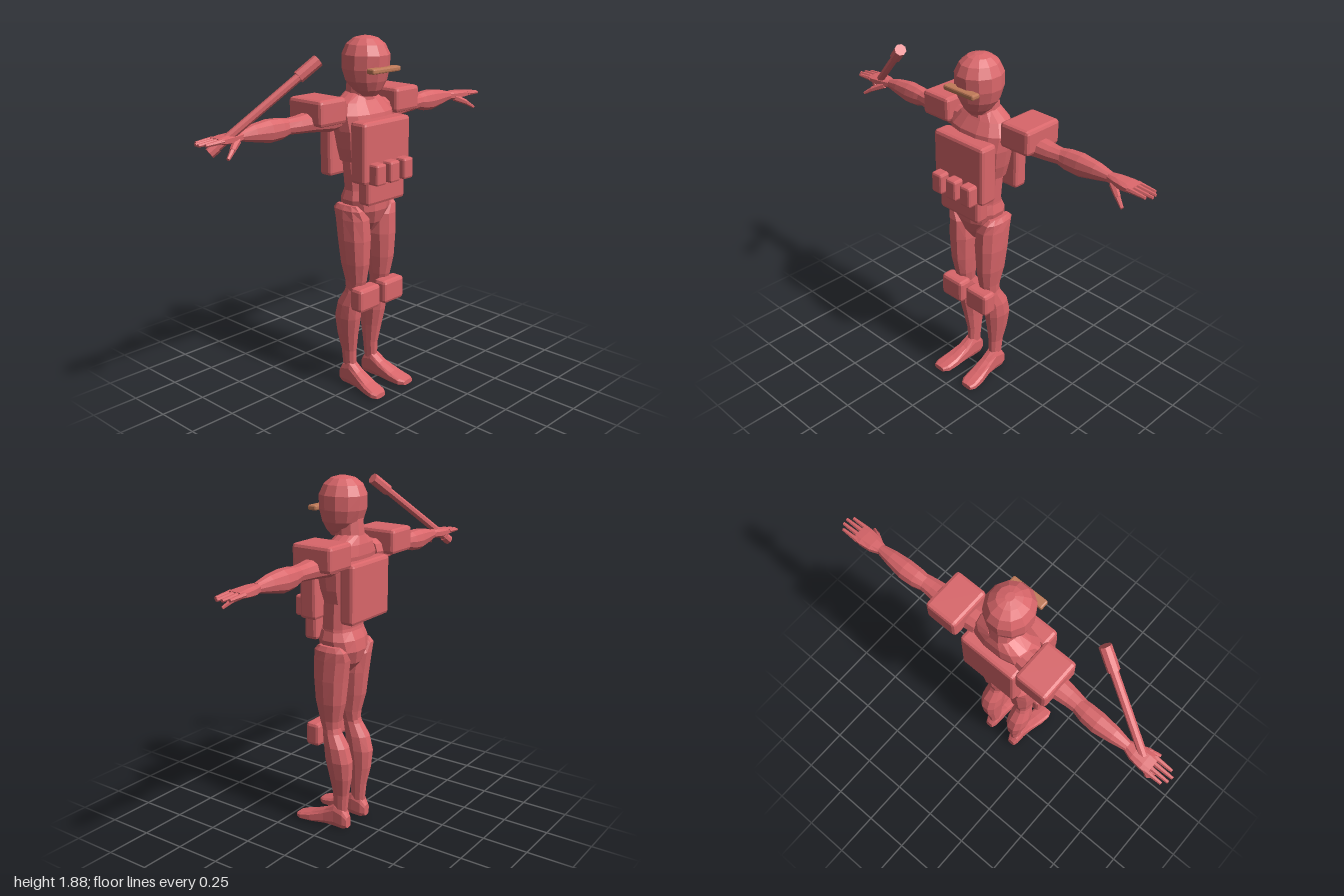
import * as THREE from 'three';
import { RoundedBoxGeometry } from 'three/addons/geometries/RoundedBoxGeometry.js';

const red = new THREE.MeshStandardMaterial({ color: 0xd9666a });
red.name = 'red';
const tan = new THREE.MeshStandardMaterial({ color: 0xc07a58 });
tan.name = 'tan';

// Faceted shading through per-face normals
function facet(geo) {
  const g = geo.index ? geo.toNonIndexed() : geo;
  g.computeVertexNormals();
  return g;
}

// Loft along an axis. Each section: [t, uMin, uMax, vMin, vMax]
// (u, v) = (z, x) for axis y, (y, z) for axis x, (x, y) for axis z. side -1 mirrors in x.
function loft(axis, sections, { n = 10, p = 0.9, side = 1 } = {}) {
  const pos = [], idx = [];
  const put = (t, u, v) => {
    const q = axis === 'y' ? [v, t, u] : axis === 'x' ? [t, u, v] : [u, v, t];
    pos.push(q[0] * side, q[1], q[2]);
  };
  const tri = (a, b, c) => (side > 0 ? idx.push(a, b, c) : idx.push(a, c, b));
  const sq = (w) => Math.sign(w) * Math.abs(w) ** p;
  for (const [t, u0, u1, v0, v1] of sections) {
    for (let i = 0; i < n; i++) {
      const a = ((i + 0.5) / n) * Math.PI * 2;
      put(t, (u0 + u1) / 2 + ((u1 - u0) / 2) * sq(Math.cos(a)),
        (v0 + v1) / 2 + ((v1 - v0) / 2) * sq(Math.sin(a)));
    }
  }
  const last = (sections.length - 1) * n;
  for (let r = 0; r < last; r += n) {
    for (let i = 0; i < n; i++) {
      const j = (i + 1) % n;
      tri(r + i, r + j, r + n + j);
      tri(r + i, r + n + j, r + n + i);
    }
  }
  // End caps
  for (let i = 1; i < n - 1; i++) {
    tri(0, i + 1, i);
    tri(last, last + i, last + i + 1);
  }
  const g = new THREE.BufferGeometry();
  g.setAttribute('position', new THREE.Float32BufferAttribute(pos, 3));
  g.setIndex(idx);
  return facet(g);
}

export function createModel() {
  const model = new THREE.Group();
  model.name = 'armouredFigure';
  const add = (name, geo, mat = red) => {
    const m = new THREE.Mesh(geo, mat);
    m.name = name;
    model.add(m);
    return m;
  };
  // Bevelled box given by its extents
  const box = (name, x0, x1, y0, y1, z0, z1, r = 0.018, mat = red) => {
    const m = add(name, facet(new RoundedBoxGeometry(x1 - x0, y1 - y0, z1 - z0, 1, r)), mat);
    m.position.set((x0 + x1) / 2, (y0 + y1) / 2, (z0 + z1) / 2);
  };
  // Tapered rod between two points
  const rod = (name, a, b, ra, rb, n = 6) => {
    const A = new THREE.Vector3(...a), B = new THREE.Vector3(...b);
    const d = B.clone().sub(A);
    const m = add(name, facet(new THREE.CylinderGeometry(rb, ra, d.length(), n)));
    m.position.copy(A).add(B).multiplyScalar(0.5);
    m.quaternion.setFromUnitVectors(new THREE.Vector3(0, 1, 0), d.normalize());
  };

  // Head, neck and visor
  add('head', loft('y', [
    [1.585, -0.03, 0.05, -0.045, 0.045],
    [1.615, -0.08, 0.075, -0.075, 0.075],
    [1.66, -0.115, 0.095, -0.105, 0.105],
    [1.72, -0.135, 0.11, -0.12, 0.12],
    [1.79, -0.138, 0.115, -0.118, 0.118],
    [1.84, -0.115, 0.09, -0.095, 0.095],
    [1.87, -0.075, 0.05, -0.06, 0.06],
    [1.88, -0.035, 0.015, -0.02, 0.02],
  ], { n: 12, p: 1 }));
  add('neck', loft('y', [
    [1.52, -0.135, 0.03, -0.085, 0.085],
    [1.58, -0.13, 0.025, -0.07, 0.07],
    [1.68, -0.12, 0.03, -0.065, 0.065],
  ]));
  box('visor', -0.1, 0.1, 1.708, 1.735, 0.085, 0.135, 0.008, tan);

  // Torso and pelvis
  add('chest', loft('y', [
    [1.26, -0.11, 0.05, -0.14, 0.14],
    [1.33, -0.12, 0.07, -0.16, 0.16],
    [1.42, -0.135, 0.085, -0.175, 0.175],
    [1.5, -0.145, 0.07, -0.18, 0.18],
    [1.555, -0.14, 0.03, -0.14, 0.14],
    [1.6, -0.125, 0.0, -0.065, 0.065],
  ], { n: 14, p: 0.8 }));
  add('waist', loft('y', [
    [1.04, -0.11, 0.085, -0.13, 0.13],
    [1.12, -0.095, 0.07, -0.128, 0.128],
    [1.28, -0.105, 0.055, -0.135, 0.135],
  ], { n: 12, p: 0.85 }));
  add('pelvis', loft('y', [
    [0.875, -0.06, 0.03, -0.022, 0.022],
    [0.93, -0.11, 0.07, -0.07, 0.07],
    [1.0, -0.13, 0.095, -0.125, 0.125],
    [1.06, -0.12, 0.095, -0.14, 0.14],
    [1.11, -0.095, 0.075, -0.128, 0.128],
  ], { n: 12, p: 0.85 }));

  // Armour plates and pouches
  box('chestPlate', -0.17, 0.17, 1.165, 1.48, 0.04, 0.14);
  box('bellyPlate', -0.137, 0.137, 1.05, 1.19, 0.06, 0.137);
  box('backPlate', -0.165, 0.165, 1.17, 1.48, -0.185, -0.105);
  for (const x of [-0.1, 0, 0.1]) box('pouch', x - 0.035, x + 0.035, 1.165, 1.275, 0.12, 0.195, 0.012);

  for (const side of [1, -1]) {
    const pad = (name, x0, x1, ...rest) =>
      box(name, Math.min(x0 * side, x1 * side), Math.max(x0 * side, x1 * side), ...rest);
    pad('shoulderPad', 0.18, 0.36, 1.47, 1.6, -0.195, 0.035);
    pad('kneePad', 0.015, 0.167, 0.475, 0.602, 0.03, 0.112);

    // Leg
    add('thigh', loft('y', [
      [0.56, -0.055, 0.045, 0.05, 0.135],
      [0.62, -0.06, 0.065, 0.04, 0.14],
      [0.72, -0.085, 0.085, 0.03, 0.158],
      [0.85, -0.1, 0.092, 0.02, 0.17],
      [0.96, -0.115, 0.088, 0.028, 0.17],
      [1.01, -0.115, 0.075, 0.08, 0.165],
      [1.035, -0.09, 0.05, 0.11, 0.15],
    ], { side }));
    add('shin', loft('y', [
      [0.1, -0.095, -0.015, 0.055, 0.112],
      [0.2, -0.105, -0.012, 0.05, 0.118],
      [0.3, -0.125, 0.005, 0.045, 0.138],
      [0.4, -0.132, 0.025, 0.038, 0.155],
      [0.48, -0.11, 0.032, 0.04, 0.155],
      [0.55, -0.065, 0.045, 0.05, 0.14],
      [0.6, -0.05, 0.04, 0.06, 0.13],
    ], { side }));
    add('foot', loft('z', [
      [-0.11, 0.065, 0.11, 0.01, 0.075],
      [-0.085, 0.053, 0.12, 0, 0.115],
      [-0.03, 0.05, 0.122, 0, 0.135],
      [0.03, 0.05, 0.13, 0.004, 0.095],
      [0.11, 0.05, 0.15, 0, 0.06],
      [0.17, 0.055, 0.157, 0, 0.042],
      [0.2, 0.075, 0.145, 0.005, 0.033],
    ], { side, p: 0.6 }));

    // Arm
    add('upperArm', loft('x', [
      [0.13, 1.43, 1.55, -0.13, 0.0],
      [0.22, 1.42, 1.55, -0.14, 0.0],
      [0.34, 1.435, 1.535, -0.135, -0.015],
      [0.42, 1.44, 1.525, -0.125, -0.025],
      [0.5, 1.445, 1.52, -0.12, -0.04],
    ], { side }));
    add('forearm', loft('x', [
      [0.46, 1.445, 1.52, -0.12, -0.04],
      [0.52, 1.425, 1.53, -0.135, -0.035],
      [0.59, 1.42, 1.533, -0.14, -0.035],
      [0.68, 1.438, 1.522, -0.128, -0.045],
      [0.76, 1.455, 1.502, -0.112, -0.06],
    ], { side }));
    add('palm', loft('x', [
      [0.75, 1.457, 1.5, -0.11, -0.06],
      [0.8, 1.452, 1.502, -0.13, -0.045],
      [0.86, 1.458, 1.498, -0.138, -0.035],
      [0.9, 1.465, 1.492, -0.136, -0.036],
    ], { side, n: 8, p: 0.7 }));
    [[-0.125, 0.975], [-0.1, 0.995], [-0.073, 1], [-0.048, 0.978]].forEach(([z, tip]) =>
      rod('finger', [0.88 * side, 1.48, z], [tip * side, 1.475, z], 0.013, 0.008));
    rod('thumbBase', [0.79 * side, 1.465, -0.065], [0.85 * side, 1.435, -0.025], 0.02, 0.014);
    rod('thumbTip', [0.845 * side, 1.437, -0.028], [0.892 * side, 1.405, -0.004], 0.013, 0.008);
  }

  // Baton in the right hand
  rod('batonShaft', [-0.9, 1.43, -0.105], [-0.5, 1.757, 0.075], 0.021, 0.021, 8);
  rod('batonPommel', [-0.912, 1.42, -0.11], [-0.88, 1.446, -0.096], 0.026, 0.026, 8);
  rod('batonHead', [-0.525, 1.737, 0.064], [-0.437, 1.809, 0.104], 0.03, 0.03, 8);
  return model;
}
